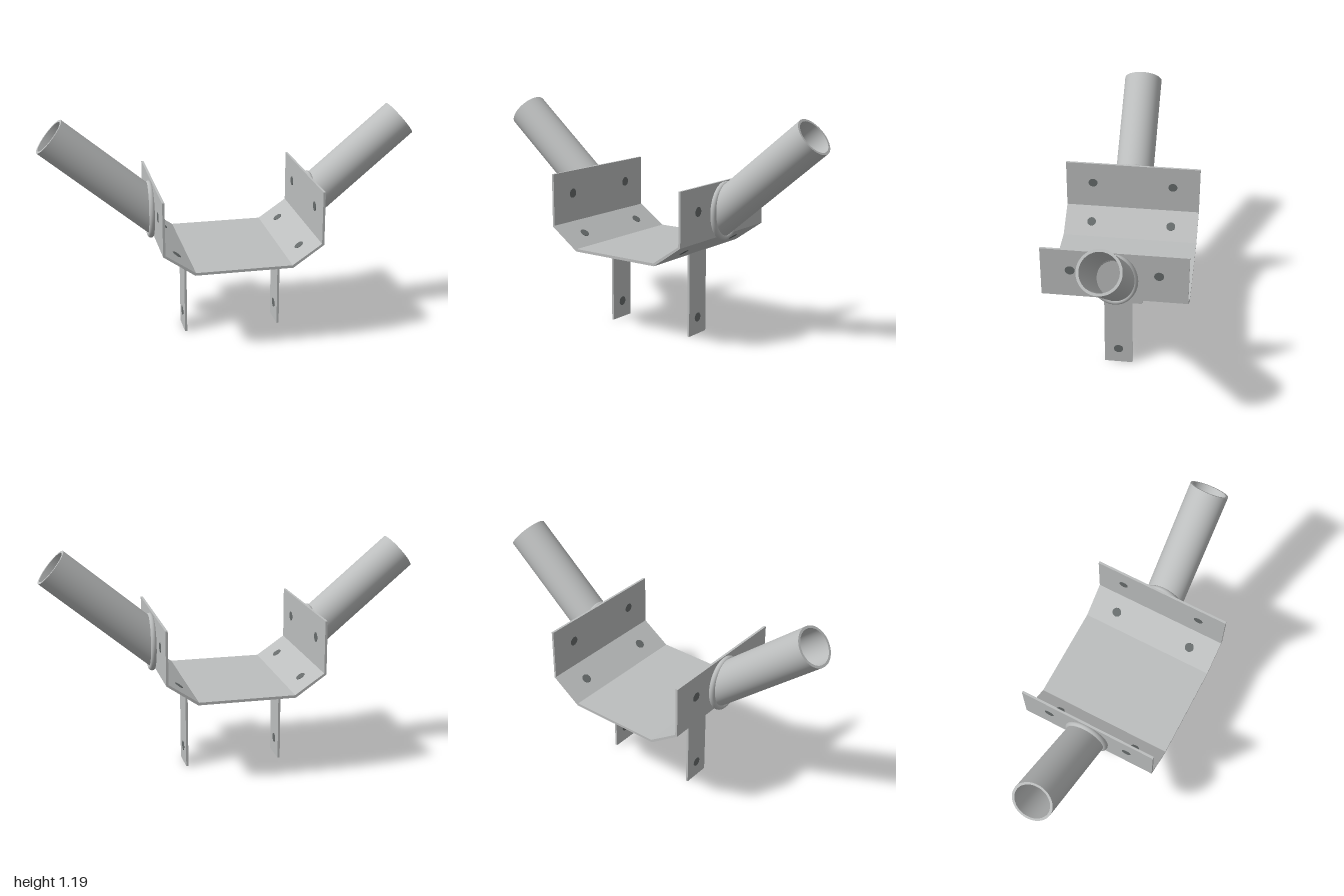
import * as THREE from 'three';

const steel = new THREE.MeshStandardMaterial({ name: 'steel grey', color: 0xbcbebe, side: THREE.DoubleSide });
const dark = new THREE.MeshStandardMaterial({ name: 'dark hole', color: 0x666b6b });

const TILT = THREE.MathUtils.degToRad(40);          // pipe angle above horizontal
const DIR = new THREE.Vector3(Math.cos(TILT), Math.sin(TILT), 0);
const PIPE_END = new THREE.Vector3(0.932, 1.111, 0); // centre of the open end
const WALL_X = 0.418;                                // outer face of the side plate

function add(parent, name, geometry, material) {
  const mesh = new THREE.Mesh(geometry, material);
  mesh.name = name;
  parent.add(mesh);
  return mesh;
}

// Turns a y-axis shape to the pipe's direction and puts it at the open end
function toPipe(geometry) {
  return geometry.rotateZ(TILT - Math.PI / 2).translate(PIPE_END.x, PIPE_END.y, 0);
}

// Open cylinder whose lower end is cut flush with the side plate
function pipeWall(radius) {
  const g = toPipe(new THREE.CylinderGeometry(radius, radius, 0.4, 48, 1, true).translate(0, -0.2, 0));
  const p = g.attributes.position;
  const perRing = p.count / 2;
  for (let i = perRing; i < p.count; i++) {
    const s = (WALL_X - p.getX(i)) / DIR.x;
    p.setXY(i, WALL_X, p.getY(i) + s * DIR.y);
  }
  return g;
}

// Dark disc showing on both faces of a plate; angle is the plate's normal in xy
function hole(parent, x, y, z, angle) {
  const g = new THREE.CylinderGeometry(0.025, 0.025, 0.016, 24).rotateZ(angle - Math.PI / 2);
  add(parent, 'boltHole', g, dark).position.set(x, y, z);
}

// Folded cradle plate, profile extruded along z
function cradle() {
  const outer = [[0.256, 0.447], [0.418, 0.56], [0.418, 0.843]];
  const inner = [[0.406, 0.843], [0.406, 0.566], [0.252, 0.461]];
  const right = [...outer, ...inner];
  const left = right.map(([x, y]) => [-x, y]).reverse();
  const shape = new THREE.Shape([...right, ...left].map(([x, y]) => new THREE.Vector2(x, y)));
  return new THREE.ExtrudeGeometry(shape, { depth: 0.75, bevelEnabled: false }).translate(0, 0, -0.375);
}

// Everything that repeats on each side, built on +x
function sideParts() {
  const side = new THREE.Group();

  // Leg strap
  add(side, 'leg', new THREE.BoxGeometry(0.012, 0.451, 0.15), steel).position.set(0.256, 0.2255, 0);
  hole(side, 0.256, 0.092, 0, 0);

  // Bolt holes in the upright and sloping plates
  for (const z of [-0.225, 0.225]) {
    hole(side, 0.412, 0.72, z, 0);
    hole(side, 0.3285, 0.506, z, THREE.MathUtils.degToRad(125));
  }

  // Hollow pipe
  add(side, 'pipeOuter', pipeWall(0.105), steel);
  add(side, 'pipeInner', pipeWall(0.092), steel);
  const rim = new THREE.RingGeometry(0.092, 0.105, 48).rotateX(-Math.PI / 2);
  add(side, 'pipeRim', toPipe(rim), steel);

  // Weld bead around the joint
  const points = [];
  for (let i = 0; i < 32; i++) {
    const a = (i / 32) * Math.PI * 2;
    points.push(new THREE.Vector3(0.429, 0.689 + 0.137 * Math.sin(a), 0.105 * Math.cos(a)));
  }
  const path = new THREE.CatmullRomCurve3(points, true);
  add(side, 'weldBead', new THREE.TubeGeometry(path, 64, 0.017, 12, true), steel);
  return side;
}

export function createModel() {
  const model = new THREE.Group();
  model.name = 'pipeBracket';
  add(model, 'cradlePlate', cradle(), steel);

  const left = sideParts();
  left.name = 'leftSide';
  const right = sideParts();
  right.name = 'rightSide';
  right.rotation.y = Math.PI;
  model.add(left, right);
  return model;
}
